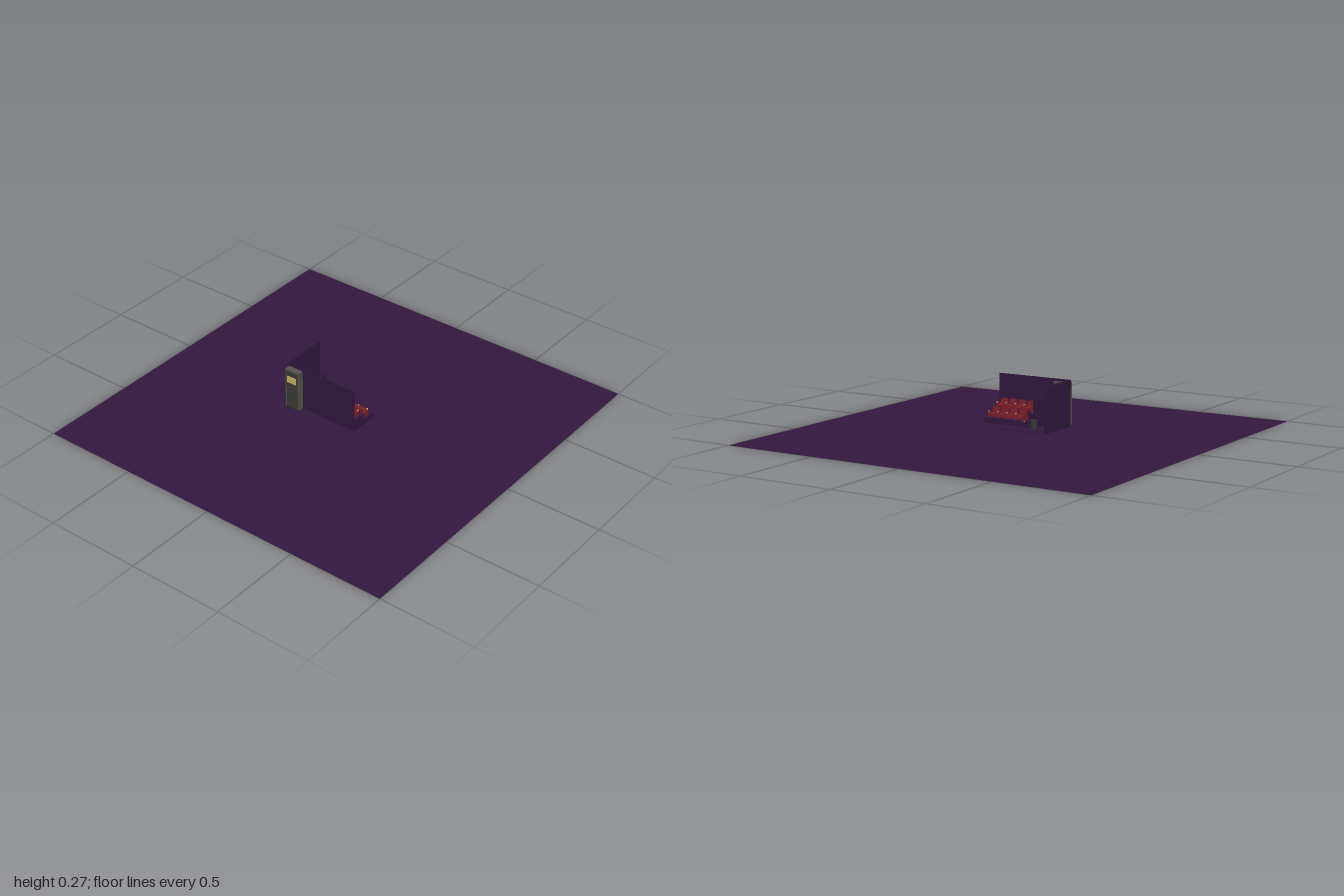
import * as THREE from 'three';

const mat = (color) => new THREE.MeshStandardMaterial({ color });
const purple = mat(0x32183e);
const red = mat(0x7a1f28);
const dark = mat(0x3a3a36);
const metal = mat(0x55554c);
const yellow = mat(0xc8b464);

// Box given by its lower and upper corners
function box(parent, name, material, [x0, y0, z0], [x1, y1, z1]) {
  const mesh = new THREE.Mesh(new THREE.BoxGeometry(x1 - x0, y1 - y0, z1 - z0), material);
  mesh.position.set((x0 + x1) / 2, (y0 + y1) / 2, (z0 + z1) / 2);
  mesh.name = name;
  parent.add(mesh);
  return mesh;
}

// Theatre seat facing -z, origin at the middle of its base
function makeSeat() {
  const seat = new THREE.Group();
  seat.name = 'seat';
  box(seat, 'seatCushion', red, [-0.02, 0.006, -0.028], [0.02, 0.02, 0.018]);
  const back = box(seat, 'seatBack', red, [-0.02, 0.012, 0.014], [0.02, 0.048, 0.024]);
  back.rotation.x = 0.15;
  for (const s of [-1, 1]) {
    box(seat, 'armrest', red, [s * 0.023 - 0.003, 0, -0.02], [s * 0.023 + 0.003, 0.027, 0.018]);
  }
  const cup = new THREE.Mesh(new THREE.CylinderGeometry(0.004, 0.003, 0.007, 10), yellow);
  cup.name = 'cup';
  cup.position.set(0.023, 0.03, -0.014);
  seat.add(cup);
  return seat;
}

export function createModel() {
  const model = new THREE.Group();
  model.name = 'smallTheatre';

  // Wide ground sheet
  const ground = new THREE.Mesh(
    new THREE.PlaneGeometry(2, 2),
    new THREE.MeshStandardMaterial({ color: 0x32183e, side: THREE.DoubleSide })
  );
  ground.rotation.x = -Math.PI / 2;
  ground.name = 'groundSheet';
  model.add(ground);

  // Room shell, raised above the ground and open on two sides
  const room = new THREE.Group();
  room.name = 'room';
  model.add(room);
  box(room, 'floor', purple, [-0.235, 0.037, -0.13], [0.18, 0.04, 0.12]);
  box(room, 'frontWall', purple, [-0.235, 0.04, 0.117], [0.18, 0.27, 0.12]);
  box(room, 'sideWall', purple, [-0.235, 0.04, -0.13], [-0.232, 0.27, 0.117]);
  box(room, 'partition', purple, [-0.114, 0.04, -0.03], [-0.11, 0.18, 0.117]);

  // Entrance door with a lit pane
  const door = new THREE.Group();
  door.name = 'entrance';
  model.add(door);
  box(door, 'doorFrame', metal, [-0.224, 0.04, 0.112], [-0.14, 0.257, 0.152]);
  box(door, 'doorPanel', dark, [-0.215, 0.04, 0.15], [-0.147, 0.249, 0.154]);
  box(door, 'doorPane', yellow, [-0.208, 0.187, 0.152], [-0.154, 0.222, 0.158]);
  box(door, 'innerDoorPanel', dark, [-0.215, 0.04, 0.11], [-0.147, 0.249, 0.113]);

  // Two tiers of seats
  const tiers = [
    { y: 0.066, z0: -0.03, z1: 0.045, seatZ: 0.011 },
    { y: 0.1, z0: 0.045, z1: 0.117, seatZ: 0.087 }
  ];
  for (const { y, z0, z1, seatZ } of tiers) {
    box(model, 'tier', purple, [-0.06, 0.04, z0], [0.18, y, z1]);
    for (let i = 0; i < 4; i++) {
      const seat = makeSeat();
      seat.position.set(-0.017 + i * 0.053, y, seatZ);
      model.add(seat);
    }
    box(model, 'stepLight', yellow, [-0.057, y, z0 + 0.005], [-0.051, y + 0.003, z0 + 0.011]);
  }

  // Aisle steps between the partition and the tiers
  for (let i = 0; i < 4; i++) {
    const z = -0.03 + i * 0.037;
    box(model, 'aisleStep', purple, [-0.11, 0.04, z], [-0.06, 0.052 + i * 0.016, Math.min(z + 0.037, 0.117)]);
  }

  // Bin at the foot of the aisle
  const bin = new THREE.Mesh(new THREE.CylinderGeometry(0.018, 0.015, 0.045, 16), dark);
  bin.name = 'bin';
  bin.position.set(-0.125, 0.0625, -0.047);
  model.add(bin);

  // Small lamp on the side wall
  const lamp = new THREE.Mesh(new THREE.SphereGeometry(0.006, 12, 8), yellow);
  lamp.name = 'wallLamp';
  lamp.position.set(-0.225, 0.14, 0);
  model.add(lamp);

  return model;
}
